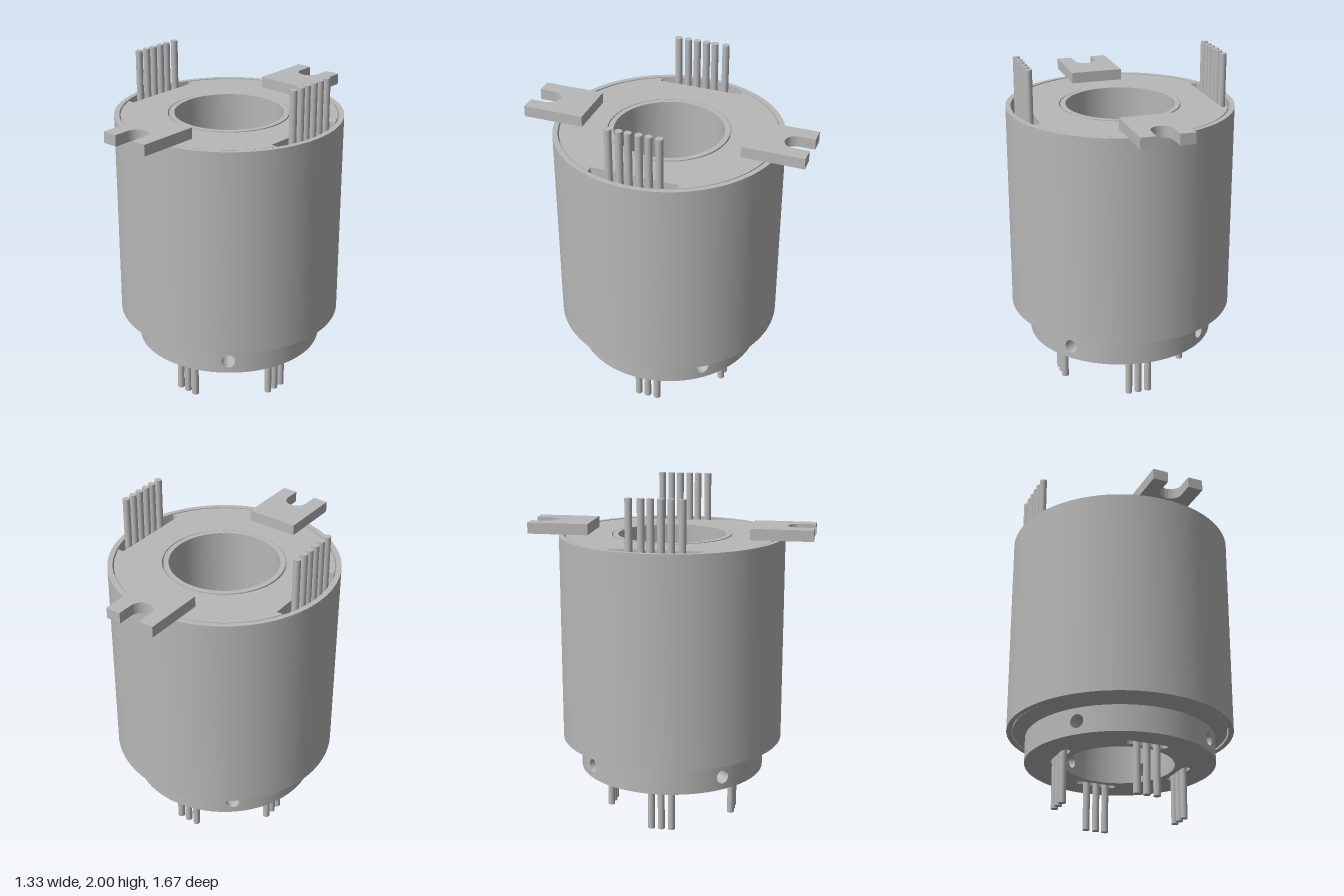
import * as THREE from 'three';
import { toCreasedNormals } from 'three/addons/utils/BufferGeometryUtils.js';
import { ParametricGeometry } from 'three/addons/geometries/ParametricGeometry.js';

const BORE = 0.318, RING_R = 0.555, SLAB_Y = 0.325, RING_TOP = 0.445;

export function createModel() {
  const model = new THREE.Group();
  const grey = new THREE.MeshStandardMaterial({ color: 0xb8b8b8, side: THREE.DoubleSide });
  grey.name = 'grey metal';

  const add = (name, geometry, parent = model) => {
    const mesh = new THREE.Mesh(geometry, grey);
    mesh.name = name;
    parent.add(mesh);
    return mesh;
  };
  const group = (name) => {
    const g = new THREE.Group();
    g.name = name;
    model.add(g);
    return g;
  };
  const lathe = (pts) => toCreasedNormals(
    new THREE.LatheGeometry(pts.map(([r, y]) => new THREE.Vector2(r, y)), 96), 0.5);
  // Plate drawn in plan and raised from y0 to y1
  const plate = (shape, y0, y1) => {
    const g = new THREE.ExtrudeGeometry(shape, { depth: y1 - y0, bevelEnabled: false, curveSegments: 64 });
    return toCreasedNormals(g.rotateX(-Math.PI / 2).translate(0, y0, 0), 0.5);
  };
  const circle = (r) => new THREE.Path().absarc(0, 0, r, 0, Math.PI * 2, false);
  const wire = (parent, x, z, y0, y1) =>
    add('wire', new THREE.CylinderGeometry(0.021, 0.021, y1 - y0, 20), parent).position.set(x, (y0 + y1) / 2, z);

  // Outer shell, neck and bore tube, with the narrow grooves between them
  add('housing', lathe([
    [BORE, RING_TOP], [0.43, RING_TOP], [0.43, 0.485], [0.627, 0.485], [0.627, 0.53], [0.635, 0.53],
    [0.635, 0.48], [0.665, 0.48], [0.665, 1.715], [0.635, 1.715], [0.635, 1.61], [0.348, 1.61],
    [0.348, 1.715], [BORE, 1.715], [BORE, RING_TOP],
  ]));

  // Top cover with a wire notch cut in each side
  const R = 0.627, h = 0.255, cut = 0.535, a0 = Math.asin(h / R);
  const cover = new THREE.Shape();
  cover.absarc(0, 0, R, a0, Math.PI - a0, false);
  cover.lineTo(-cut, h);
  cover.lineTo(-cut, -h);
  cover.absarc(0, 0, R, Math.PI + a0, Math.PI * 2 - a0, false);
  cover.lineTo(cut, -h);
  cover.lineTo(cut, h);
  cover.holes.push(circle(0.355));
  add('topCover', plate(cover, 1.61, 1.713));

  // Slotted mounting lugs, front and back
  const lug = new THREE.Shape();
  lug.moveTo(-0.155, -0.475);
  lug.lineTo(-0.155, -0.837);
  lug.lineTo(-0.065, -0.837);
  lug.lineTo(-0.065, -0.745);
  lug.absarc(0, -0.745, 0.065, Math.PI, 0, true);
  lug.lineTo(0.065, -0.837);
  lug.lineTo(0.155, -0.837);
  lug.lineTo(0.155, -0.475);
  lug.closePath();
  add('frontLug', plate(lug, 1.715, 1.78));
  add('backLug', plate(lug, 1.715, 1.78)).rotation.y = Math.PI;

  // Upper wires, a row of six on each side
  const left = group('leftUpperWires'), right = group('rightUpperWires');
  [-0.16, -0.1, -0.045, 0.015, 0.067, 0.13].forEach((z) => wire(left, 0.577, z, 1.61, 2));
  [-0.143, -0.075, -0.022, 0.036, 0.092, 0.153].forEach((z) => wire(right, -0.577, z, 1.61, 2));

  // Bottom collar: slotted base, pocket floor and top face
  const base = new THREE.Shape();
  base.absarc(0, 0, RING_R, 0, Math.PI * 2, false);
  base.holes.push(circle(BORE));
  for (let k = 0; k < 4; k++) {
    const t = k * Math.PI / 2, half = 0.1;
    const cx = 0.375 * Math.cos(t), cy = 0.375 * Math.sin(t);
    const dx = -Math.sin(t) * half, dy = Math.cos(t) * half;
    const slot = new THREE.Path();
    slot.absarc(cx + dx, cy + dy, 0.025, t, t + Math.PI, false);
    slot.absarc(cx - dx, cy - dy, 0.025, t + Math.PI, t + Math.PI * 2, false);
    slot.closePath();
    base.holes.push(slot);
  }
  const collar = group('collar');
  add('collarBase', plate(base, 0.29, SLAB_Y), collar);
  add('collarPocketFloor', lathe([[BORE, SLAB_Y], [RING_R, SLAB_Y]]), collar);
  add('collarTop', lathe([[RING_R, RING_TOP], [BORE, RING_TOP]]), collar);

  // Collar walls, with four radial screw holes right through
  const holeR = 0.04, holeY = 0.367, span = 0.18;
  const place = (p, r, angle, y) => p.set(r * Math.sin(angle), y, r * Math.cos(angle));
  for (let k = 0; k < 4; k++) {
    const mid = THREE.MathUtils.degToRad(41.4) + k * Math.PI / 2;
    for (const [r, dir] of [[RING_R, 1], [BORE, -1]]) {
      // Plain wall between holes
      add('collarWall', new ParametricGeometry((u, v, p) => {
        const f = dir > 0 ? u : 1 - u;
        place(p, r, mid + span + f * (Math.PI / 2 - 2 * span), SLAB_Y + v * (RING_TOP - SLAB_Y));
      }, 24, 1), collar);
      // Wall panel around a hole
      add('collarHolePanel', new ParametricGeometry((u, v, p) => {
        const t = -dir * u * Math.PI * 2, c = Math.cos(t), s = Math.sin(t);
        const m = Math.max(Math.abs(c), Math.abs(s));
        const edgeY = (s > 0 ? RING_TOP - holeY : holeY - SLAB_Y) * s / m;
        const angle = (1 - v) * Math.asin(holeR * c / r) + v * span * c / m;
        place(p, r, mid + angle, holeY + (1 - v) * holeR * s + v * edgeY);
      }, 48, 4), collar);
    }
    add('screwHole', new ParametricGeometry((u, v, p) => {
      const t = u * Math.PI * 2, x = holeR * Math.cos(t);
      const r = RING_R + v * (BORE - RING_R);
      place(p, r, mid + Math.asin(x / r), holeY + holeR * Math.sin(t));
    }, 48, 4), collar);
  }

  // Lower wires, three in each base slot
  for (let k = 0; k < 4; k++) {
    const g = group('lowerWires');
    for (const x of [-0.062, -0.003, 0.058]) wire(g, x, 0.375, 0, SLAB_Y);
    g.rotation.y = k * Math.PI / 2;
  }
  return model;
}
